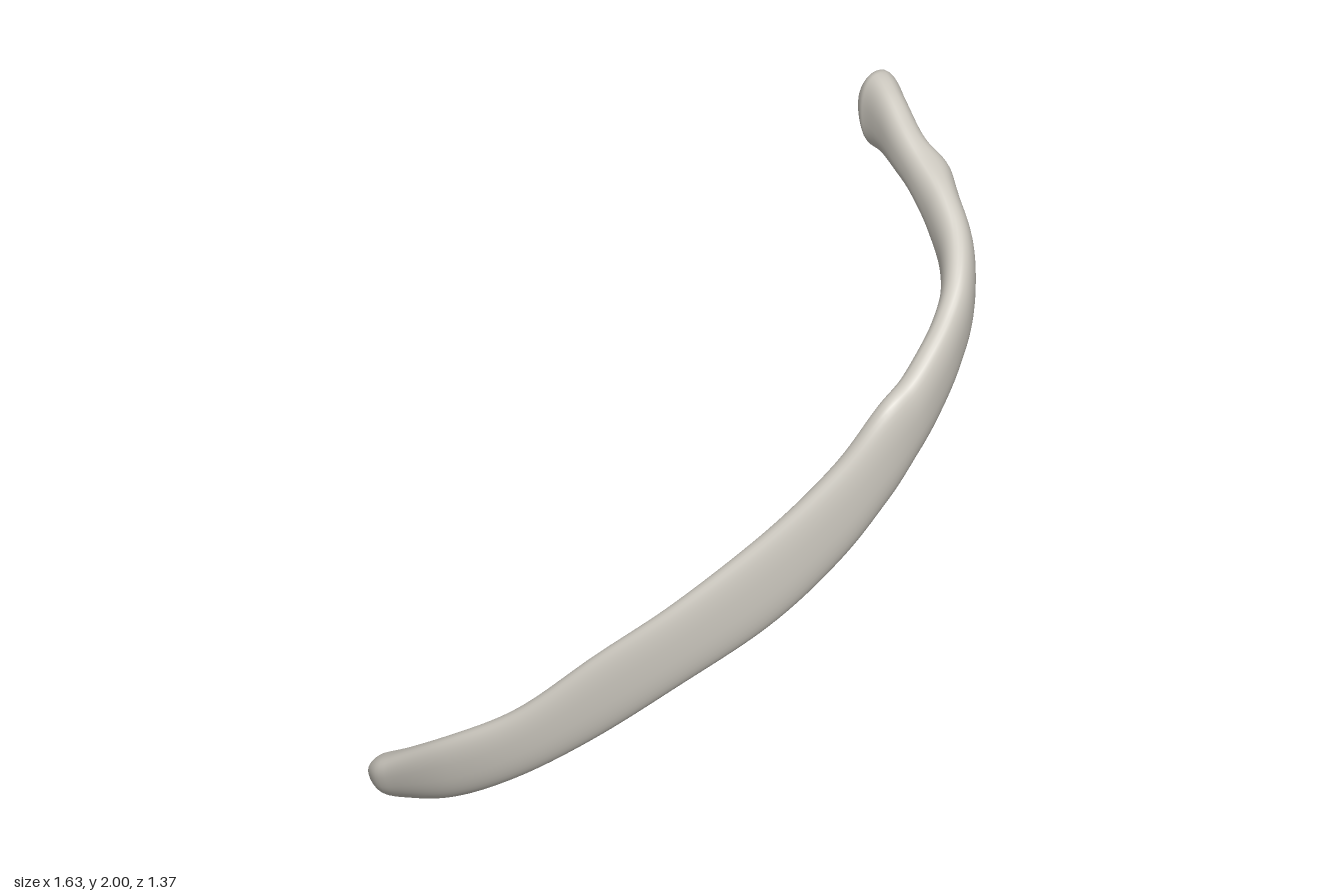
import * as THREE from 'three';

// Stations along the bone: x, z, lower edge y, upper edge y, half thickness, outward lean of the upper edge
const STATIONS = [
  [-0.755, -0.69, 0.01, 0.14, 0.065, 0.02],
  [-0.745, -0.60, 0.00, 0.175, 0.062, 0.03],
  [-0.745, -0.40, 0.075, 0.31, 0.048, 0.025],
  [-0.69, -0.20, 0.20, 0.45, 0.044, 0.015],
  [-0.59, 0.00, 0.36, 0.655, 0.04, 0.01],
  [-0.46, 0.20, 0.55, 0.85, 0.04, 0.005],
  [-0.275, 0.40, 0.75, 1.08, 0.044, 0],
  [-0.12, 0.53, 0.94, 1.275, 0.048, 0],
  [0.00, 0.60, 1.10, 1.435, 0.052, 0],
  [0.10, 0.625, 1.215, 1.495, 0.053, 0],
  [0.20, 0.628, 1.30, 1.56, 0.052, 0],
  [0.30, 0.617, 1.385, 1.625, 0.05, 0],
  [0.40, 0.585, 1.47, 1.70, 0.05, 0],
  [0.50, 0.51, 1.555, 1.775, 0.052, 0],
  [0.57, 0.41, 1.64, 1.84, 0.052, 0],
  [0.62, 0.30, 1.725, 1.89, 0.05, 0],
  [0.66, 0.21, 1.755, 1.935, 0.05, 0],
  [0.71, 0.12, 1.76, 1.98, 0.053, 0],
  [0.752, 0.045, 1.745, 1.998, 0.062, 0],
  [0.765, -0.022, 1.78, 1.97, 0.06, 0],
];
const SIDES = 36;
const STEPS = 10;

function buildShaft() {
  const last = STATIONS.length - 1;
  const centre = new THREE.CatmullRomCurve3(
    STATIONS.map(([x, z, lo, hi]) => new THREE.Vector3(x, (lo + hi) / 2, z)), false, 'catmullrom', 0.5);
  const section = new THREE.CatmullRomCurve3(
    STATIONS.map(([, , lo, hi, t, lean]) => new THREE.Vector3((hi - lo) / 2, t, lean)), false, 'catmullrom', 0.5);

  const positions = [];
  const indices = [];
  const rings = last * STEPS;
  const power = (v) => Math.sign(v) * Math.abs(v) ** 0.85;
  for (let i = 0; i <= rings; i++) {
    // Finer spacing within the rounded ends
    let s = i / STEPS;
    if (s < 1) s = 1 - Math.cos(s * Math.PI / 2);
    else if (s > last - 1) s = last - 1 + Math.sin((s - last + 1) * Math.PI / 2);
    const c = centre.getPoint(s / last);
    const tangent = centre.getTangent(s / last);
    const out = new THREE.Vector3(-tangent.z, 0, tangent.x).normalize();
    const { x: half, y: thick, z: lean } = section.getPoint(s / last);
    const d = Math.min(1, s, last - s);
    const round = Math.sqrt(Math.max(0, 1 - (1 - d) ** 2));

    for (let j = 0; j < SIDES; j++) {
      const a = j / SIDES * Math.PI * 2;
      const u = power(Math.cos(a));
      const v = power(Math.sin(a));
      // Small bump on the outer face near the upper end
      const bump = 0.022 * Math.exp(-(((s - 14.7) / 0.5) ** 2)) * Math.max(0, Math.cos(a - 0.3));
      const side = (thick * u + lean * v) * round + bump;
      positions.push(c.x + out.x * side, c.y + half * v * round, c.z + out.z * side);
      if (i < rings) {
        const k = (j + 1) % SIDES;
        const p = i * SIDES;
        const q = p + SIDES;
        indices.push(p + j, q + j, p + k, p + k, q + j, q + k);
      }
    }
  }
  const geometry = new THREE.BufferGeometry();
  geometry.setAttribute('position', new THREE.Float32BufferAttribute(positions, 3));
  geometry.setIndex(indices);
  geometry.computeVertexNormals();
  return geometry;
}

export function createModel() {
  const bone = new THREE.MeshStandardMaterial({ color: 0xcbc7be });
  bone.name = 'bone';
  const model = new THREE.Group();
  model.name = 'ribBone';
  const shaft = new THREE.Mesh(buildShaft(), bone);
  shaft.name = 'ribShaft';
  model.add(shaft);
  return model;
}
